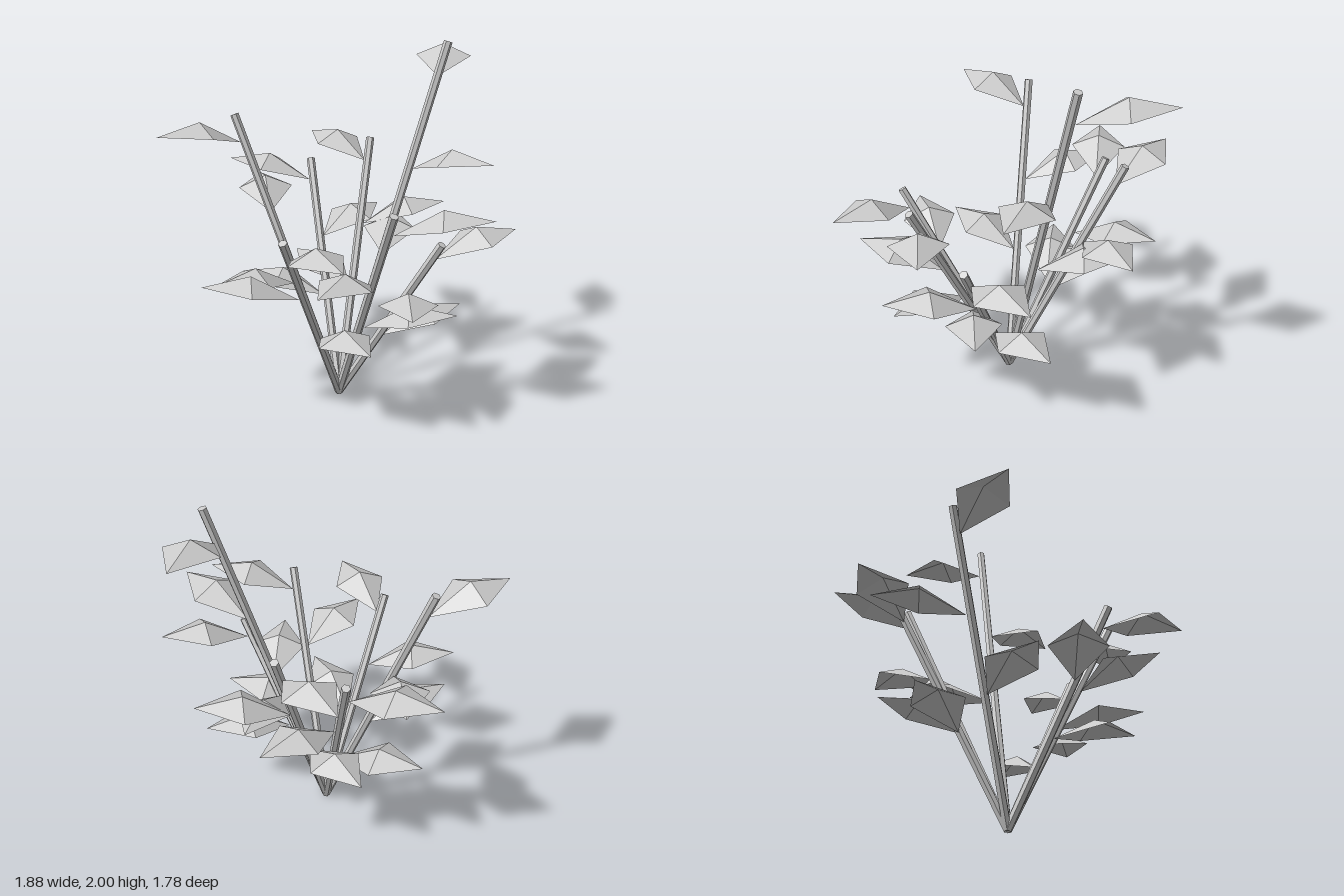
import * as THREE from 'three';

const material = new THREE.MeshStandardMaterial({
  color: 0xcccccc, flatShading: true, side: THREE.DoubleSide,
});

// Four-sided leaf growing along +x: base, two side corners, tip and a raised centre.
function leafGeometry() {
  const geo = new THREE.BufferGeometry();
  geo.setAttribute('position', new THREE.Float32BufferAttribute([
    0, 0, 0,
    0.25, 0.078, 0.155,
    0.505, 0.095, 0,
    0.25, 0.078, -0.155,
    0.25, 0.145, 0,
  ], 3));
  geo.setIndex([0, 1, 4, 1, 2, 4, 2, 3, 4, 3, 0, 4]);
  const flat = geo.toNonIndexed();
  flat.computeVertexNormals();
  return flat;
}

// Straight six-sided stem between two points.
function makeStem(from, to) {
  const dir = to.clone().sub(from);
  const stem = new THREE.Mesh(new THREE.CylinderGeometry(0.024, 0.024, dir.length(), 6), material);
  stem.position.copy(from).addScaledVector(dir, 0.5);
  stem.quaternion.setFromUnitVectors(new THREE.Vector3(0, 1, 0), dir.normalize());
  stem.name = 'stem';
  return stem;
}

export function createModel() {
  const plant = new THREE.Group();
  plant.name = 'plant';
  const root = new THREE.Vector3(-0.02, 0.01, 0.06);
  const leafShape = leafGeometry();

  // Stem tips, fanning out from the root
  const tips = [
    [0.37, 1.995, -0.44],
    [-0.175, 1.375, -0.55],
    [-0.475, 1.25, -0.36],
    [-0.63, 1.595, 0.165],
    [0.04, 1.115, 0.68],
    [0.51, 1.255, 0.4],
    [0.61, 1.025, 0.06],
  ];

  tips.forEach((p, i) => {
    const tip = new THREE.Vector3(...p);
    const branch = new THREE.Group();
    branch.name = `branch${i + 1}`;
    branch.add(makeStem(root, tip));

    // Leaves alternate from one side of the stem to the other
    const heading = Math.atan2(tip.z - root.z, tip.x - root.x);
    [0.405, 0.655, 0.905].forEach((t, k) => {
      const angle = heading + (k % 2 ? 1 : -1);
      const leaf = new THREE.Mesh(leafShape, material);
      leaf.position.lerpVectors(root, tip, t);
      leaf.position.x += 0.024 * Math.cos(angle);
      leaf.position.z += 0.024 * Math.sin(angle);
      leaf.rotation.y = -angle;
      leaf.name = 'leaf';
      branch.add(leaf);
    });
    plant.add(branch);
  });
  return plant;
}
